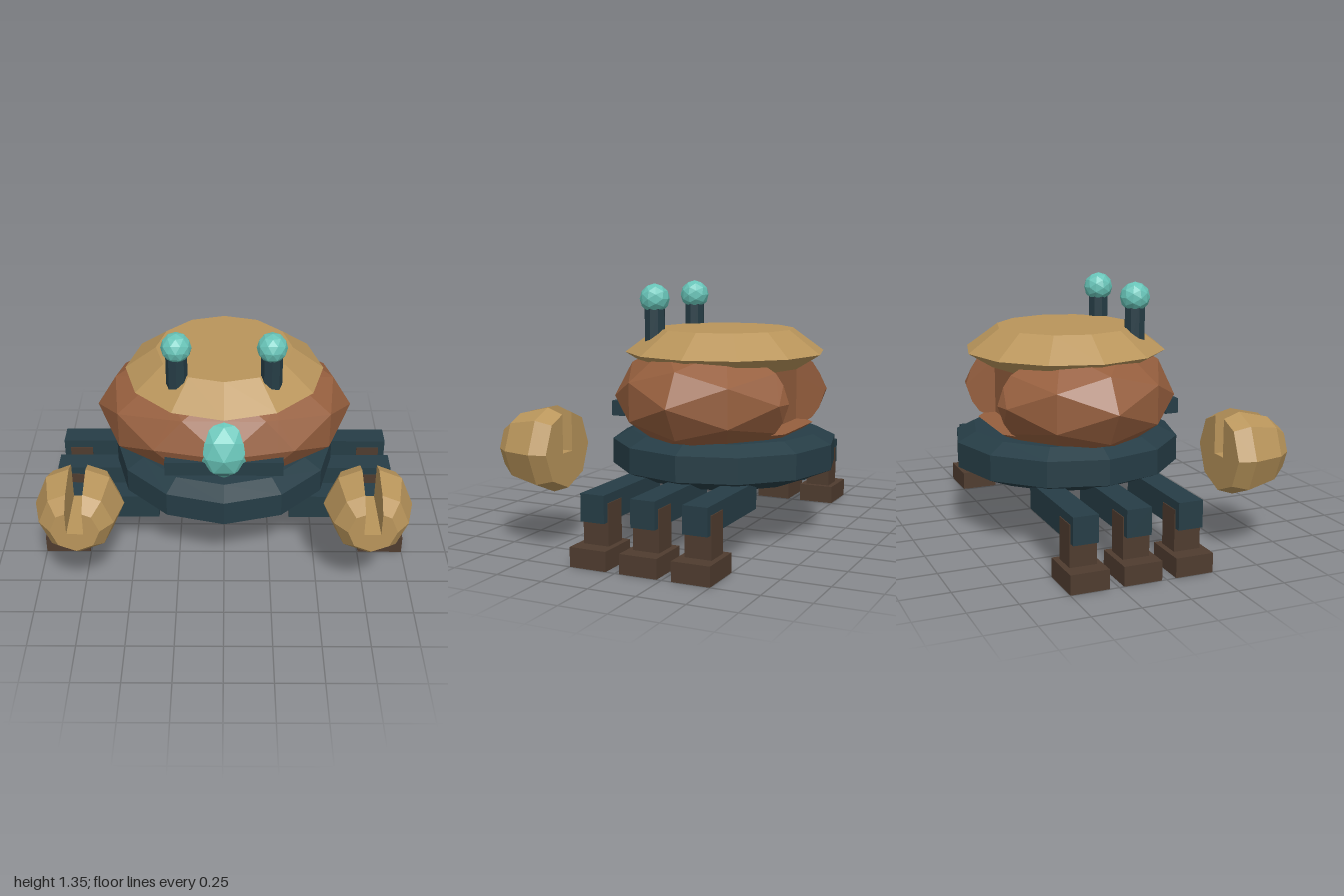
import * as THREE from 'three';
import { ConvexGeometry } from 'three/addons/geometries/ConvexGeometry.js';

const mat = (name, color) => {
  const m = new THREE.MeshStandardMaterial({ color });
  m.name = name;
  return m;
};

// Faceted normals for every low-poly part
function faceted(geo) {
  const g = geo.index ? geo.toNonIndexed() : geo;
  g.computeVertexNormals();
  return g;
}

const lathe = (pts, sides = 12) =>
  faceted(new THREE.LatheGeometry(pts.map(([r, y]) => new THREE.Vector2(r, y)), sides));

const ball = (rx, ry, rz) =>
  faceted(new THREE.IcosahedronGeometry(1, 1).rotateX(Math.PI / 2).scale(rx, ry, rz));

// Cut a list of polygons by a plane, keeping the side where sign * (axis - limit) >= 0
function clip(polys, [axis, limit, sign]) {
  const dist = (p) => sign * (p[axis] - limit);
  return polys.map((poly) => {
    const out = [];
    poly.forEach((a, i) => {
      const b = poly[(i + 1) % poly.length];
      const da = dist(a), db = dist(b);
      if (da >= 0) out.push(a);
      if (da * db < 0) out.push(a.clone().lerp(b, da / (da - db)));
    });
    return out;
  }).filter((poly) => poly.length > 2);
}

// Faceted ellipsoid with a box-shaped recess in its back, made of convex pieces
function bodyPieces() {
  const pos = ball(0.7, 0.33, 0.55).translate(0, 0.755, -0.12).attributes.position;
  const tris = [];
  for (let i = 0; i < pos.count; i += 3) {
    tris.push([0, 1, 2].map((k) => new THREE.Vector3().fromBufferAttribute(pos, i + k)));
  }
  const w = 0.28, floor = -0.44, sill = 0.587;
  const middle = [['x', w, -1], ['x', -w, 1]];
  const corners = [-w, w].map((x) => new THREE.Vector3(x, sill, floor));
  return [
    [[['x', w, 1]], []],
    [[['x', -w, -1]], []],
    [[...middle, ['z', floor, 1]], []],
    [[...middle, ['z', floor, -1], ['y', sill, -1]], corners],
  ].map(([planes, extra]) => new ConvexGeometry([...planes.reduce(clip, tris).flat(), ...extra]));
}

// Eight-sided claw along z with a slot open at the top
function clawGeometry() {
  const w = 0.043, slotY = -0.017, c = Math.SQRT1_2;
  const rings = [[0.2, 0.41], [0.23, 0.495], [0.19, 0.66], [0.125, 0.735]];
  const outline = (r) => [
    [r, 0], [r * c, r * c], [w, r - 0.414 * w], [w, slotY], [-w, slotY], [-w, r - 0.414 * w],
    [-r * c, r * c], [-r, 0], [-r * c, -r * c], [0, -r], [r * c, -r * c],
  ];
  const verts = [], index = [], n = 11;
  rings.forEach(([r, z]) => outline(r).forEach(([x, y]) => verts.push(x, y, z)));
  for (let k = 0; k < rings.length - 1; k++) {
    for (let i = 0; i < n; i++) {
      const a = k * n + i, b = k * n + (i + 1) % n;
      index.push(a, b, b + n, a, b + n, a + n);
    }
  }
  const cap = (r, base, flip) => {
    const pts = outline(r).map(([x, y]) => new THREE.Vector2(x, y));
    THREE.ShapeUtils.triangulateShape(pts, []).forEach(([a, b, d]) =>
      index.push(base + a, base + (flip ? d : b), base + (flip ? b : d)));
  };
  cap(rings[0][0], 0, true);
  cap(rings[3][0], 3 * n, false);
  const g = new THREE.BufferGeometry();
  g.setAttribute('position', new THREE.Float32BufferAttribute(verts, 3));
  g.setIndex(index);
  return faceted(g);
}

export function createModel() {
  const model = new THREE.Group();
  model.name = 'crabRobot';
  const dark = mat('darkSlate', 0x263d46);
  const tan = mat('tan', 0xb9955b);
  const brown = mat('rustBrown', 0x965f3e);
  const boot = mat('darkBrown', 0x4f3c2f);
  const teal = mat('teal', 0x68c4b8);

  const add = (parent, name, geo, material, x = 0, y = 0, z = 0) => {
    const m = new THREE.Mesh(geo, material);
    m.name = name;
    m.position.set(x, y, z);
    parent.add(m);
    return m;
  };
  const box = (w, h, d) => new THREE.BoxGeometry(w, h, d);

  // Chassis disc and top shell
  add(model, 'chassis', lathe([[0, 0.31], [0.455, 0.31], [0.61, 0.375], [0.61, 0.51], [0.51, 0.56], [0, 0.56]]),
    dark, 0, 0, -0.13);
  add(model, 'shell', lathe([[0, 0.9], [0.41, 0.9], [0.54, 0.98], [0.37, 1.105], [0, 1.105]]),
    tan, 0, 0, -0.13);

  // Body with rear recess
  const body = new THREE.Group();
  body.name = 'body';
  model.add(body);
  bodyPieces().forEach((g) => add(body, 'bodyPiece', g, brown));

  // Face lens and bar
  add(model, 'lens', ball(0.175, 0.185, 0.19), teal, 0, 0.75, 0.262);
  add(model, 'faceBar', box(0.62, 0.08, 0.074), dark, 0, 0.675, 0.365);

  const stem = faceted(new THREE.CylinderGeometry(0.056, 0.056, 0.22, 8));
  const eye = ball(0.08, 0.08, 0.08);
  const claw = clawGeometry();

  for (const [side, s] of [['left', 1], ['right', -1]]) {
    // Eye stalks
    add(model, side + 'EyeStem', stem, dark, s * 0.245, 1.12, 0.17);
    add(model, side + 'Eye', eye, teal, s * 0.245, 1.267, 0.17);
    // Claws
    add(model, side + 'Claw', claw, tan, s * 0.748, 0.527, 0);
    // Legs
    for (const z of [0.15, -0.125, -0.4]) {
      const leg = new THREE.Group();
      leg.name = side + 'Leg';
      leg.position.z = z;
      model.add(leg);
      add(leg, 'thigh', box(0.59, 0.14, 0.13), dark, s * 0.655, 0.29, 0);
      add(leg, 'shin', box(0.13, 0.22, 0.14), boot, s * 0.85, 0.205, 0);
      add(leg, 'foot', box(0.245, 0.1, 0.2), boot, s * 0.8775, 0.05, 0);
    }
  }
  return model;
}
